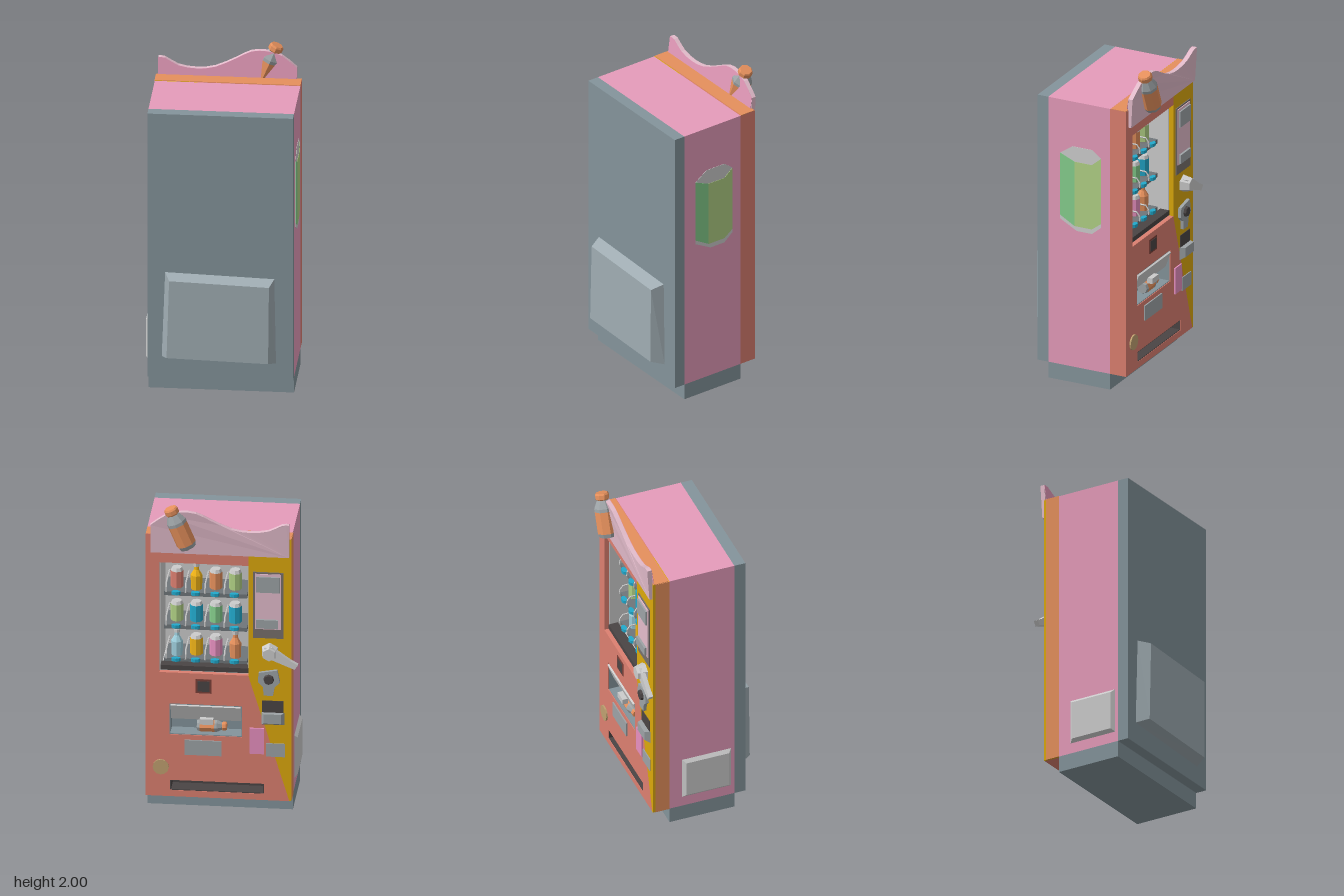
import * as THREE from 'three';

const C = { pink: 0xe59bba, grey: 0x84949b, red: 0xdc7f70, orange: 0xe5905c, yellow: 0xdba80c,
  light: 0xcccccc, mid: 0x9da3a6, dark: 0x4a4444, sign: 0xe3bccb, cyan: 0x22a9cc,
  green: 0x86cf8d, lime: 0xb0d084, blue: 0x9fd0de, amber: 0xf0b418, rose: 0xe890c0 };

const mat = (color) => new THREE.MeshStandardMaterial({ color, flatShading: true, side: THREE.DoubleSide });

function add(parent, name, geometry, color, x = 0, y = 0, z = 0) {
  const mesh = new THREE.Mesh(geometry, mat(color));
  mesh.name = name;
  mesh.position.set(x, y, z);
  parent.add(mesh);
  return mesh;
}

// box given by its min and max corners
function block(parent, name, color, [x0, y0, z0], [x1, y1, z1]) {
  return add(parent, name, new THREE.BoxGeometry(x1 - x0, y1 - y0, z1 - z0), color,
    (x0 + x1) / 2, (y0 + y1) / 2, (z0 + z1) / 2);
}

const shapeOf = (points) => new THREE.Shape(points.map(([x, y]) => new THREE.Vector2(x, y)));
const rect = (x0, y0, x1, y1) => [[x0, y0], [x1, y0], [x1, y1], [x0, y1]];

// outline with holes, extruded from z0 to z1
function plate(parent, name, color, points, z0, z1, holes = []) {
  const shape = shapeOf(points);
  shape.holes = holes.map(shapeOf);
  const geometry = new THREE.ExtrudeGeometry(shape, { depth: z1 - z0, bevelEnabled: false, curveSegments: 8 });
  return add(parent, name, geometry, color, 0, 0, z0);
}

// open-fronted lining of a recess
function lining(parent, name, color, [x0, y0, x1, y1], z0, z1, t = 0.005) {
  const group = new THREE.Group();
  group.name = name;
  block(group, 'recessBack', color, [x0, y0, z1 - t], [x1, y1, z1]);
  block(group, 'recessFloor', color, [x0, y0, z0], [x1, y0 + t, z1]);
  block(group, 'recessCeiling', color, [x0, y1 - t, z0], [x1, y1, z1]);
  block(group, 'recessSide', color, [x0, y0, z0], [x0 + t, y1, z1]);
  block(group, 'recessSide', color, [x1 - t, y0, z0], [x1, y1, z1]);
  parent.add(group);
}

// frustum between two four-cornered outlines, wound the same way
function frustum(parent, name, color, a, za, b, zb) {
  const p = [...a.map(([x, y]) => [x, y, za]), ...b.map(([x, y]) => [x, y, zb])].flat();
  const index = [4, 5, 6, 4, 6, 7];
  for (let i = 0; i < 4; i++) {
    const j = (i + 1) % 4;
    index.push(i, j, j + 4, i, j + 4, i + 4);
  }
  const geometry = new THREE.BufferGeometry();
  geometry.setAttribute('position', new THREE.Float32BufferAttribute(p, 3));
  geometry.setIndex(index);
  geometry.computeVertexNormals();
  return add(parent, name, geometry, color);
}

// eight-sided drink made of turned bands: [color, [radius, height], ...]
function drink(parent, name, bands) {
  const group = new THREE.Group();
  group.name = name;
  for (const [color, ...profile] of bands) {
    add(group, 'drinkBand', new THREE.LatheGeometry(profile.map(([r, y]) => new THREE.Vector2(r, y)), 8), color);
  }
  parent.add(group);
  return group;
}
const can = (c) => [[C.light, [0, 0], [0.03, 0], [0.038, 0.012]], [c, [0.038, 0.012], [0.038, 0.115]],
  [C.light, [0.038, 0.115], [0.029, 0.135], [0, 0.135]]];
const slimBottle = (c) => [[c, [0, 0], [0.033, 0], [0.035, 0.09], [0.015, 0.125], [0.014, 0.145]],
  [C.light, [0.018, 0.145], [0.018, 0.165], [0, 0.165]]];
const bigBottle = [[C.mid, [0, 0], [0.05, 0], [0.06, 0.025]], [C.orange, [0.06, 0.025], [0.06, 0.16]],
  [C.mid, [0.06, 0.16], [0.06, 0.18], [0.036, 0.228]],
  [C.orange, [0.036, 0.228], [0.043, 0.235], [0.043, 0.26], [0.036, 0.27], [0, 0.27]]];

export function createModel() {
  const root = new THREE.Group();
  root.name = 'vendingMachine';
  const F = -0.275; // plane of the service face
  const win = [-0.157, 0.9, 0.37, 1.61];
  const tray = [-0.12, 0.5, 0.31, 0.7];
  const slot = [-0.25, 0.14, 0.305, 0.205];

  // cabinet
  block(root, 'base', C.grey, [-0.41, 0, -0.17], [0.45, 0.1, 0.24]);
  block(root, 'backPanel', C.grey, [-0.41, 0.1, 0.24], [0.45, 1.79, 0.31]);
  block(root, 'cabinetRear', C.pink, [-0.41, 0.1, 0.03], [0.45, 1.79, 0.24]);
  plate(root, 'cabinetShell', C.pink, rect(-0.41, 0.1, 0.45, 1.79), -0.17, 0.03, [rect(...win)]);
  plate(root, 'redFace', C.red, [[0.45, 0.1], [0.45, 1.79], [-0.157, 1.79], [-0.157, 1.61], [0.37, 1.61],
    [0.37, 0.9], [-0.157, 0.9], [-0.4, 0.1]], F, -0.17, [rect(...tray), rect(...slot)]);
  plate(root, 'yellowFace', C.yellow, [[-0.157, 1.79], [-0.41, 1.79], [-0.41, 0.1], [-0.4, 0.1], [-0.157, 0.9]], F, -0.17);
  block(root, 'topTrim', C.orange, [-0.41, 1.788, -0.272], [0.45, 1.793, -0.175]);
  block(root, 'sideTrim', C.orange, [-0.413, 0.1, -0.26], [-0.409, 1.79, -0.17]);

  // rear service box and side hatch
  frustum(root, 'rearBox', 0xa0adb3, [[-0.325, 0.235], [0.35, 0.215], [0.34, 0.755], [-0.305, 0.775]], 0.31,
    [[-0.29, 0.255], [0.31, 0.24], [0.315, 0.73], [-0.275, 0.75]], 0.385);
  const hatch = frustum(root, 'sideHatch', C.light, rect(-0.09, 0.165, 0.22, 0.44), 0, rect(-0.07, 0.185, 0.2, 0.42), 0.018);
  hatch.rotation.y = -Math.PI / 2;
  hatch.position.x = -0.41;

  // can picture on the side
  const picture = new THREE.Group();
  picture.name = 'sidePicture';
  plate(picture, 'pictureEnds', C.light, [[-0.16, 1.45], [-0.08, 1.505], [0.05, 1.505], [0.11, 1.46], [0.11, 1.02],
    [0.05, 0.97], [-0.05, 0.97], [-0.16, 1.03]], 0, 0.002);
  plate(picture, 'pictureShade', C.green, [[-0.16, 1.45], [-0.065, 1.41], [-0.065, 1.0], [-0.16, 1.055]], 0.001, 0.004);
  plate(picture, 'pictureLight', C.lime, [[-0.065, 1.41], [0.05, 1.41], [0.11, 1.46], [0.11, 1.045], [0.05, 1.0],
    [-0.065, 1.0]], 0.001, 0.004);
  picture.rotation.y = Math.PI / 2;
  picture.position.x = 0.45;
  root.add(picture);

  // display window with stocked shelves
  lining(root, 'windowLining', C.light, win, -0.245, 0.035);
  block(root, 'windowSill', C.dark, [-0.155, 0.905, -0.25], [0.365, 0.935, -0.19]);
  const stock = [
    [0.95, slimBottle(C.blue), can(C.amber), can(C.rose), slimBottle(C.orange)],
    [1.165, can(C.lime), can(C.cyan), can(C.green), can(C.cyan)],
    [1.38, can(C.red), slimBottle(C.amber), can(C.orange), can(C.lime)]];
  for (const [y, ...row] of stock) {
    block(root, 'shelf', 0x6f767a, [-0.14, y - 0.025, -0.18], [0.35, y, 0.03]);
    row.forEach((bands, i) => {
      const x = 0.28 - i * 0.115;
      drink(root, 'drink', bands).position.set(x, y, -0.12);
      const tag = add(root, 'priceButton', new THREE.CylinderGeometry(0.027, 0.027, 0.02, 8), C.cyan, x, y - 0.004, -0.185);
      tag.scale.z = 0.6;
      const wire = new THREE.CatmullRomCurve3([[0, -0.19], [0.05, -0.18], [0.055, -0.12], [0.05, 0.02]]
        .map(([h, z]) => new THREE.Vector3(x + 0.0575, y + h, z)));
      add(root, 'divider', new THREE.TubeGeometry(wire, 8, 0.005, 5), C.light);
    });
  }

  // wavy top sign, leaning forward towards its upper edge
  const crest = new THREE.SplineCurve([[0.42, 1.86], [0.33, 1.93], [0.24, 1.955], [0.15, 1.95], [0.06, 1.905], [-0.06, 1.85],
    [-0.17, 1.835], [-0.28, 1.85], [-0.36, 1.893], [-0.4, 1.895]].map((p) => new THREE.Vector2(...p)));
  const outline = crest.getPoints(18).map((p) => [p.x, p.y]);
  const sign = plate(root, 'topSign', C.sign, [[-0.4, 1.68], [0.42, 1.68], ...outline], -0.293, -0.266);
  const pos = sign.geometry.attributes.position;
  for (let i = 0; i < pos.count; i++) pos.setZ(i, pos.getZ(i) - 0.13 * Math.max(0, pos.getY(i) - 1.79));
  sign.geometry.computeVertexNormals();
  const signBack = plate(root, 'topSignBack', C.pink, [[-0.4, 1.79], [0.42, 1.79], ...outline], -0.266, -0.264);
  const back = signBack.geometry.attributes.position;
  for (let i = 0; i < back.count; i++) back.setZ(i, back.getZ(i) - 0.13 * Math.max(0, back.getY(i) - 1.79));
  const signBottle = drink(root, 'signBottle', bigBottle);
  signBottle.position.set(0.195, 1.735, -0.32);
  signBottle.rotation.z = -0.4;

  // payment panel
  block(root, 'paymentFrame', 0x77706c, [-0.366, 1.15, -0.281], [-0.186, 1.575, F]);
  block(root, 'paymentPlate', C.sign, [-0.352, 1.21, -0.286], [-0.198, 1.565, F]);
  block(root, 'paymentScreen', C.mid, [-0.345, 1.45, -0.296], [-0.205, 1.55, F]);
  block(root, 'noteSlot', C.mid, [-0.335, 1.22, -0.3], [-0.205, 1.275, F]);

  // lever, lock plate and coin return
  const hub = add(root, 'leverHub', new THREE.CylinderGeometry(0.04, 0.055, 0.06, 6), C.light, -0.285, 1.065, -0.305);
  hub.rotation.x = -Math.PI / 2;
  plate(root, 'leverArm', C.light, [[-0.255, 1.1], [-0.29, 1.03], [-0.435, 0.97], [-0.455, 1.0], [-0.41, 1.025], [-0.3, 1.105]],
    -0.318, -0.29);
  plate(root, 'lockPlate', C.mid, [[-0.22, 0.93], [-0.33, 0.95], [-0.345, 0.87], [-0.315, 0.84], [-0.305, 0.785], [-0.25, 0.785],
    [-0.245, 0.84], [-0.215, 0.87]], -0.295, F);
  const lock = add(root, 'lock', new THREE.CylinderGeometry(0.028, 0.034, 0.02, 8), C.dark, -0.28, 0.89, -0.3);
  lock.rotation.x = -Math.PI / 2;
  block(root, 'coinReturn', C.dark, [-0.365, 0.64, -0.279], [-0.24, 0.745, F]);
  frustum(root, 'coinCup', C.mid, rect(-0.37, 0.59, -0.235, 0.67), F, rect(-0.355, 0.61, -0.25, 0.67), -0.308);

  // stickers, push button and round badge
  block(root, 'pinkCard', C.rose, [-0.25, 0.4, -0.284], [-0.165, 0.565, F]);
  block(root, 'greyCard', C.mid, [-0.375, 0.385, -0.281], [-0.262, 0.47, F]);
  block(root, 'infoPlate', C.mid, [0, 0.375, -0.283], [0.22, 0.47, F]);
  block(root, 'buttonFrame', 0x7a4038, [0.06, 0.775, -0.279], [0.155, 0.865, F]);
  block(root, 'button', C.dark, [0.072, 0.787, -0.282], [0.143, 0.853, F]);
  const badge = add(root, 'roundBadge', new THREE.CylinderGeometry(0.048, 0.048, 0.01, 12), 0xbfa070, 0.36, 0.29, -0.28);
  badge.rotation.x = Math.PI / 2;

  // delivery tray with tilted flap and a fallen bottle, lower vent slot
  lining(root, 'trayLining', C.grey, tray, -0.27, -0.168);
  lining(root, 'ventLining', C.dark, slot, -0.272, -0.168);
  const flap = block(root, 'trayFlap', C.light, [-0.112, 0.59, -0.265], [0.302, 0.695, -0.253]);
  flap.rotation.x = -0.35;
  block(root, 'flapHandle', C.light, [0.05, 0.575, -0.285], [0.13, 0.61, -0.25]);
  const fallen = drink(root, 'deliveredBottle', bigBottle);
  fallen.scale.setScalar(0.65);
  fallen.rotation.z = Math.PI / 2;
  fallen.position.set(0.15, 0.545, -0.225);
  return root;
}
